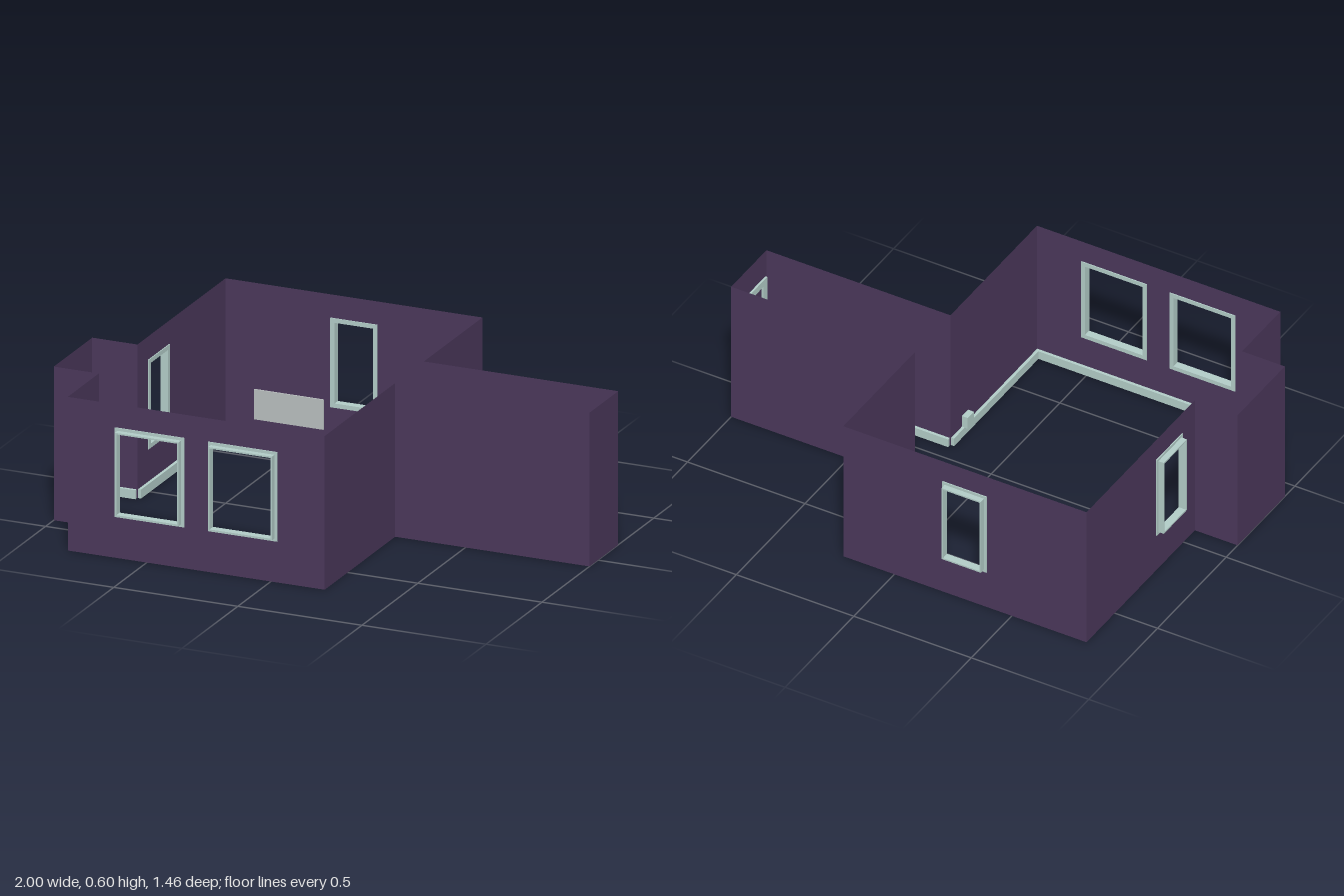
import * as THREE from 'three';

const wallMat = new THREE.MeshStandardMaterial({ name: 'plumWall', color: 0x4a375a, side: THREE.DoubleSide });
const trimMat = new THREE.MeshStandardMaterial({ name: 'paleTrim', color: 0xb2ccc7 });
const panelMat = new THREE.MeshStandardMaterial({ name: 'greyPanel', color: 0xb8bebe });

const H = 0.6;
const SILL = 0.335; // window centre height
const TUBE_H = 0.327;

// floor plan corners [x, z]; each wall's local +z faces outdoors
const plan = [
  [-0.818, 0.705], [0.217, 0.705], [0.217, 0.075], [1, 0.075], [1, -0.182], [0.217, -0.182],
  [0.217, -0.705], [-0.818, -0.705], [-0.818, 0.083], [-1, 0.083], [-1, 0.427], [-0.818, 0.427],
];

// windows by wall index: distance along the wall, width of the liner
const windows = {
  0: [[0.33, 0.257], [0.706, 0.257]],
  6: [[0.517, 0.167]],
  7: [[0.6, 0.167]],
};

function rect(Kind, cx, cy, w, h) {
  const p = new Kind();
  p.moveTo(cx - w / 2, cy - h / 2);
  p.lineTo(cx + w / 2, cy - h / 2);
  p.lineTo(cx + w / 2, cy + h / 2);
  p.lineTo(cx - w / 2, cy + h / 2);
  p.closePath();
  return p;
}

function add(parent, name, geometry, material, x = 0, y = 0, z = 0) {
  const mesh = new THREE.Mesh(geometry, material);
  mesh.name = name;
  mesh.position.set(x, y, z);
  parent.add(mesh);
  return mesh;
}

// rectangular ring, depth along +z
function ring(w, h, t, depth) {
  const s = rect(THREE.Shape, 0, 0, w, h);
  s.holes.push(rect(THREE.Path, 0, 0, w - 2 * t, h - 2 * t));
  return new THREE.ExtrudeGeometry(s, { depth, bevelEnabled: false });
}

function makeWindow(w) {
  const g = new THREE.Group();
  g.name = 'windowFrame';
  add(g, 'windowLiner', ring(w, TUBE_H, 0.006, 0.031), trimMat, 0, 0, -0.004);
  add(g, 'windowTrim', ring(w + 0.022, TUBE_H + 0.022, 0.016, 0.008), trimMat, 0, 0, -0.004);
  return g;
}

export function createModel() {
  const model = new THREE.Group();
  model.name = 'roomShell';

  const walls = plan.map((a, i) => {
    const b = plan[(i + 1) % plan.length];
    const dx = b[0] - a[0], dz = b[1] - a[1], len = Math.hypot(dx, dz);
    const side = new THREE.Group();
    side.name = 'wallSection';
    side.position.set(a[0], 0, a[1]);
    side.rotation.y = -Math.atan2(dz, dx);

    // thin wall with window openings
    const shape = rect(THREE.Shape, len / 2, H / 2, len, H);
    for (const [u, w] of windows[i] || []) {
      shape.holes.push(rect(THREE.Path, u, SILL, w, TUBE_H));
      const win = makeWindow(w);
      win.position.set(u, SILL, 0);
      side.add(win);
    }
    add(side, 'wall', new THREE.ShapeGeometry(shape), wallMat);

    // skirting along the inside
    add(side, 'baseboard', new THREE.BoxGeometry(len - 0.004, 0.035, 0.012), trimMat, len / 2, 0.0175, -0.008);
    model.add(side);
    return side;
  });

  // low panels either side of the back window
  for (const s of [-1, 1]) {
    add(walls[6], 'wallPanel', new THREE.BoxGeometry(0.28, 0.117, 0.006), panelMat, 0.517 + s * 0.26, 0.128, -0.005);
  }

  // small outlet box on the inside of the side wall
  add(walls[1], 'outletBox', new THREE.BoxGeometry(0.045, 0.05, 0.025), trimMat, 0.527, 0.058, -0.0135);

  // door casing inside the end of the passage
  for (const u of [0.025, 0.232]) {
    add(walls[3], 'doorJamb', new THREE.BoxGeometry(0.028, 0.46, 0.008), trimMat, u, 0.23, -0.006);
  }
  add(walls[3], 'doorHead', new THREE.BoxGeometry(0.235, 0.028, 0.008), trimMat, 0.1285, 0.474, -0.006);

  return model;
}
